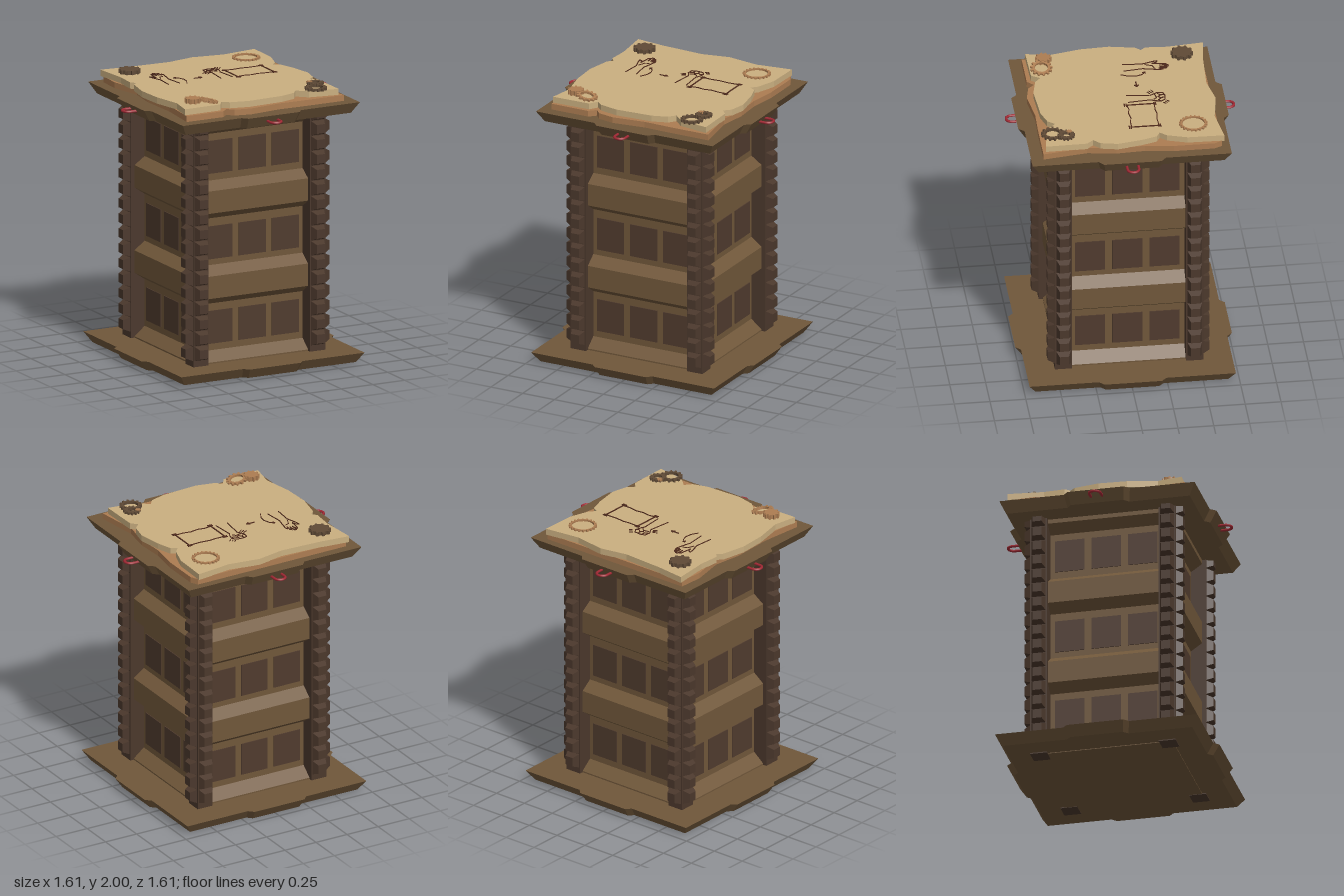
import * as THREE from 'three';
import { mergeGeometries } from 'three/addons/utils/BufferGeometryUtils.js';

const mat = (name, color) => {
  const m = new THREE.MeshStandardMaterial({ color });
  m.name = name;
  return m;
};

// Flat facets: split every face and recompute normals
const facet = (g) => {
  const f = g.index ? g.toNonIndexed() : g;
  f.computeVertexNormals();
  return f;
};

// Horizontal plate from a plan outline (x, z), top at yTop
function plate(shape, height, yTop) {
  const g = new THREE.ExtrudeGeometry(shape, { depth: height, bevelEnabled: false, curveSegments: 10 });
  return g.rotateX(Math.PI / 2).translate(0, yTop, 0);
}

const outline = (pts) => new THREE.Shape(pts.map(([x, z]) => new THREE.Vector2(x, z)));

// Square slab with a shallow tab on each side, tapering toward its underside
function tabbedSlab(half, tab, yBottom, yTop) {
  const pts = [];
  for (let i = 0; i < 4; i++) {
    const a = i * Math.PI / 2, c = Math.cos(a), s = Math.sin(a);
    for (const [u, v] of [[-half, half], [-0.235, half], [-0.2, tab], [0.2, tab], [0.235, half]]) {
      pts.push([u * c + v * s, -u * s + v * c]);
    }
  }
  const g = plate(outline(pts), yTop - yBottom, yTop);
  const p = g.attributes.position;
  for (let i = 0; i < p.count; i++) {
    if (p.getY(i) < (yBottom + yTop) / 2) p.setXYZ(i, p.getX(i) * 0.935, yBottom, p.getZ(i) * 0.935);
  }
  return facet(g);
}

// Toothed wheel, with an optional hole
function gear(teeth, rRoot, rTip, rHole, height) {
  const pts = [];
  for (let i = 0; i < teeth; i++) {
    for (const [f, r] of [[0, rRoot], [0.5, rRoot], [0.58, rTip], [0.92, rTip]]) {
      const a = (i + f) / teeth * Math.PI * 2;
      pts.push([r * Math.cos(a), r * Math.sin(a)]);
    }
  }
  const shape = outline(pts);
  if (rHole) shape.holes.push(new THREE.Path().absarc(0, 0, rHole, 0, Math.PI * 2, true));
  return plate(shape, height, height / 2);
}

export function createModel() {
  const wood = mat('brown wood', 0x70573a);
  const panel = mat('dark panel', 0x503b2e);
  const post = mat('dark post', 0x4b382c);
  const paper = mat('parchment', 0xcaaf80);
  const leather = mat('tan leather', 0xad7d52);
  const red = mat('red metal', 0xa32a35);
  const iron = mat('dark gear', 0x5f4a36);
  const ink = mat('brown ink', 0x4f2a1c);

  const model = new THREE.Group();
  const add = (name, geometry, material, parent = model) => {
    const m = new THREE.Mesh(geometry, material);
    m.name = name;
    parent.add(m);
    return m;
  };

  // Base and top slabs
  add('baseSlab', tabbedSlab(0.72, 0.756, 0.008, 0.08), wood);
  add('topSlab', tabbedSlab(0.695, 0.735, 1.79, 1.87), wood);

  // Square tower body: recessed panel tiers between projecting bands
  const inner = 0.41, outer = 0.49;
  const profile = [[0, 0.003], [outer, 0.003], [outer, 0.09]];
  for (const y of [0.155, 0.765, 1.37]) {
    profile.push([inner, y], [inner, y + 0.335], [outer, y + 0.39], [outer, y + 0.55]);
  }
  profile[profile.length - 1][1] = 1.8;
  const body = new THREE.LatheGeometry(
    profile.map(([r, y]) => new THREE.Vector2(r * Math.SQRT2, y)), 4);
  add('towerBody', facet(body.rotateY(Math.PI / 4)), wood);

  // Dark inset panels, three per tier on each side
  const panels = [];
  for (let side = 0; side < 4; side++) {
    for (const y of [0.32, 0.925, 1.537]) {
      for (const x of [-0.26, 0, 0.26]) {
        panels.push(new THREE.BoxGeometry(0.211, 0.235, 0.008)
          .translate(x, y, inner + 0.002).rotateY(side * Math.PI / 2));
      }
    }
  }
  add('panels', mergeGeometries(panels), panel);

  // Corner posts studded with bevelled knobs on their two outer faces
  const c = 0.458, half = 0.06;
  const postParts = [new THREE.BoxGeometry(half * 2, 1.8, half * 2).translate(c, 0.9, c).toNonIndexed()];
  for (let k = 0; k < 16; k++) {
    const y = 0.175 + k * 0.1073;
    for (const turn of [0, 1]) {
      const knob = new THREE.CylinderGeometry(0.032 * Math.SQRT2, 0.052 * Math.SQRT2, 0.05, 4)
        .rotateY(Math.PI / 4).rotateX(Math.PI / 2).translate(0, 0, half + 0.022);
      if (turn) knob.rotateY(Math.PI / 2);
      postParts.push(facet(knob.translate(c, y, c)));
    }
  }
  const postGeometry = mergeGeometries(postParts);
  for (let i = 0; i < 4; i++) add('cornerPost', postGeometry, post).rotation.y = i * Math.PI / 2;

  // Red pull rings on the four tabs
  const ringPath = new THREE.CurvePath();
  const V = (x, z) => new THREE.Vector3(x, 1.83, z);
  const bend = [];
  for (let i = 0; i <= 8; i++) {
    const a = i / 8 * Math.PI;
    bend.push(V(-0.04 * Math.cos(a), 0.755 + 0.04 * Math.sin(a)));
  }
  ringPath.add(new THREE.LineCurve3(V(-0.04, 0.69), bend[0]));
  ringPath.add(new THREE.CatmullRomCurve3(bend));
  ringPath.add(new THREE.LineCurve3(bend[8], V(0.04, 0.69)));
  const ring = new THREE.TubeGeometry(ringPath, 30, 0.01, 6);
  for (let i = 0; i < 4; i++) add('pullRing', ring, red).rotation.y = i * Math.PI / 2;

  // Leather sheet under a ragged parchment sheet
  const under = [[-0.61, -0.63], [0.59, -0.64], [0.617, -0.585], [0.617, -0.3], [0.59, -0.1], [0.6, 0.1],
    [0.57, 0.3], [0.615, 0.61], [0.3, 0.61], [0.11, 0.605], [-0.125, 0.635], [-0.245, 0.61],
    [-0.285, 0.565], [-0.33, 0.61], [-0.62, 0.61], [-0.59, 0.3], [-0.6, 0], [-0.57, -0.21], [-0.62, -0.45]];
  const over = [[-0.62, -0.655], [-0.41, -0.63], [-0.1, -0.615], [0.1, -0.655], [0.33, -0.62], [0.59, -0.655],
    [0.585, -0.4], [0.54, -0.26], [0.5, -0.215], [0.545, -0.19], [0.58, -0.08], [0.61, 0.09], [0.585, 0.21],
    [0.54, 0.255], [0.58, 0.3], [0.585, 0.59], [0.37, 0.555], [0.3, 0.49], [0.26, 0.54], [0.15, 0.575],
    [-0.12, 0.59], [-0.255, 0.56], [-0.3, 0.52], [-0.34, 0.58], [-0.62, 0.585], [-0.59, 0.41],
    [-0.635, 0.2], [-0.645, 0], [-0.61, -0.18], [-0.575, -0.215], [-0.605, -0.25], [-0.595, -0.4]];
  add('leatherSheet', plate(outline(under), 0.045, 1.912), leather);
  add('parchmentSheet', plate(outline(over), 0.045, 1.955), paper);

  // Gears lying on the parchment: x, y, z, gear arguments, colour, tilt
  const gears = [
    [-0.48, 1.968, -0.49, [10, 0.065, 0.078, 0, 0.03], iron, 0],
    [0.42, 1.96, -0.46, [20, 0.087, 0.099, 0.078, 0.014], leather, 0],
    [-0.5, 1.982, 0.475, [10, 0.046, 0.057, 0, 0.034], leather, 0],
    [-0.4, 1.974, 0.5, [13, 0.062, 0.077, 0.046, 0.016], leather, -0.22],
    [0.44, 1.964, 0.525, [13, 0.064, 0.079, 0.05, 0.02], iron, 0],
    [0.485, 1.974, 0.435, [13, 0.05, 0.06, 0.027, 0.018], iron, 0],
    [0.45, 1.98, 0.41, [8, 0.015, 0.021, 0, 0.012], leather, 0],
  ];
  for (const [x, y, z, args, material, tilt] of gears) {
    const g = add('gear', gear(...args), material);
    g.position.set(x, y, z);
    g.rotation.z = tilt;
  }

  // Ink strokes in hundredths of a unit (x, z)
  const stroke = (pts, width = 0.006) => mergeGeometries(pts.slice(1).map(([x1, z1], i) => {
    const [x0, z0] = pts[i], dx = x1 - x0, dz = z1 - z0;
    return new THREE.BoxGeometry(Math.hypot(dx, dz) / 100 + width * 0.6, 0.006, width)
      .rotateY(-Math.atan2(dz, dx)).translate((x0 + x1) / 200, 1.957, (z0 + z1) / 200);
  }));
  const drawing = (name, ...geometries) => add(name, mergeGeometries(geometries), ink);

  drawing('openHandDrawing',
    stroke([[-39, -20], [-41.5, -28], [-42, -31], [-40, -30], [-39, -27], [-38, -36], [-37, -37], [-36, -32],
      [-36, -38], [-34.5, -38], [-34, -32], [-33, -37], [-32, -36], [-32.5, -31], [-31, -34], [-30.5, -32],
      [-32, -24], [-33, -20]]),
    stroke([[-39, -20], [-40, -6.5]], 0.005), stroke([[-33, -20], [-31.5, -6.5]], 0.005),
    stroke([[-38, -22], [-36, -27], [-33, -28]], 0.004));
  drawing('motionArrowDrawing',
    stroke([[-28.5, -21], [-25.5, -18.5], [-24, -14], [-24.5, -9], [-27, -4]], 0.005),
    stroke([[-27, -21], [-28.5, -21], [-28, -19]]),
    stroke([[-16.5, -13], [-10.5, -13]], 0.008),
    stroke([[-12.5, -14.3], [-10.5, -13], [-12.5, -11.7]], 0.008));
  drawing('fistDrawing',
    stroke([[2, -20.5], [-1, -25.5], [-0.5, -30], [3, -31], [8, -30.5], [10, -27.5], [9, -23], [7.5, -20]]),
    stroke([[0, -26], [2, -28], [4, -26], [6, -28], [8, -26], [9.5, -27]]),
    stroke([[2, -31], [2, -28]]), stroke([[5, -31], [5.5, -28]]), stroke([[1, -24], [5, -25], [7, -23]]),
    stroke([[1.7, -20], [0, -4.5]], 0.005), stroke([[7.7, -20], [9, -4.5]], 0.005),
    ...[0, 1, 2].flatMap((i) => [
      stroke([[9.3 + i * 1.2, -31.5 + i * 1.3], [11 + i * 1.2, -33 + i * 1.3]], 0.004),
      stroke([[-2 + i * 0.8, -23.5 + i * 1.3], [-5 + i * 1.2, -22 + i * 1.4]], 0.004)]));
  drawing('scrollDrawing',
    ...[12.5, 41].flatMap((x) => [stroke([[x, -22.5], [x, -2.5]], 0.009),
      ...[-23.3, -22, -2.8, -1.5].map((z) => stroke([[x - 1.5, z], [x + 1.5, z]], 0.008))]),
    stroke([[12.5, -22.3], [20, -22], [25, -22.6], [32, -21.8], [41, -22.3]]),
    stroke([[12.5, -3.2], [18, -4], [23, -3], [29, -4], [35, -3], [41, -3.2]]));

  return model;
}
